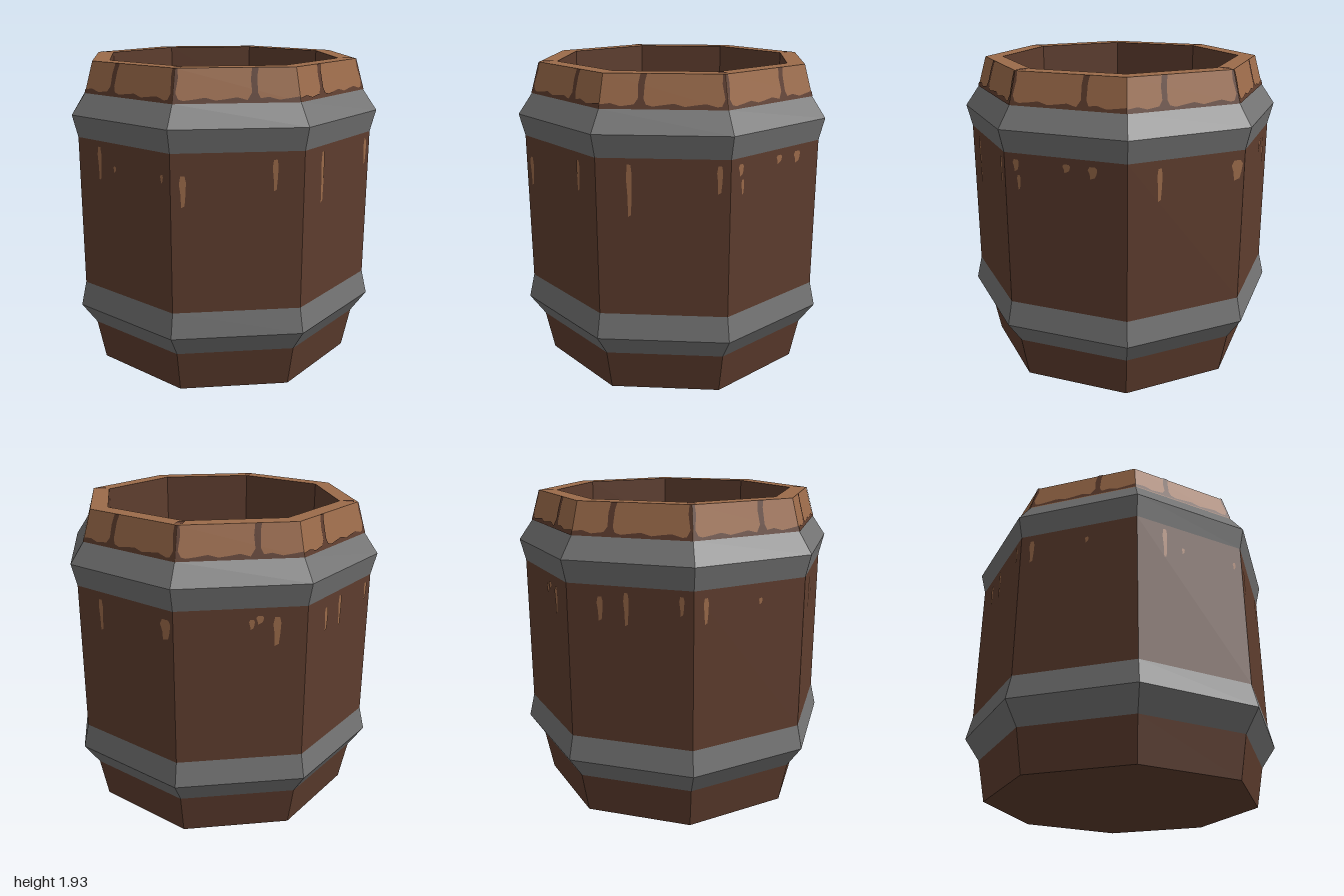
import * as THREE from 'three';

const mat = (name, color) => new THREE.MeshStandardMaterial({ name, color });
const SEG = Math.PI / 4, START = THREE.MathUtils.degToRad(37.5);

// eight-sided turned part with hard facets
function turned(name, profile, material) {
  const pts = profile.map(([r, y]) => new THREE.Vector2(r, y));
  const geo = new THREE.LatheGeometry(pts, 8, START).toNonIndexed();
  geo.computeVertexNormals();
  const mesh = new THREE.Mesh(geo, material);
  mesh.name = name;
  return mesh;
}

// thin painted patches: each outline (counter-clockwise) is mapped to 3D by its own rule
function patches(name, list, material) {
  const pos = [];
  for (const { outline, map } of list) {
    const v = outline.map(([a, b]) => new THREE.Vector2(a, b));
    for (const tri of THREE.ShapeUtils.triangulateShape(v, []))
      for (const i of tri) pos.push(...map(v[i].x, v[i].y));
  }
  const geo = new THREE.BufferGeometry();
  geo.setAttribute('position', new THREE.Float32BufferAttribute(pos, 3));
  geo.computeVertexNormals();
  const mesh = new THREE.Mesh(geo, material);
  mesh.name = name;
  return mesh;
}

// rule for a side facet: f runs 0..1 left to right seen from outside, y is height
const facet = (deg, radiusAt) => (f, y) => {
  const a = THREE.MathUtils.degToRad(deg), r = radiusAt(y);
  const d = r * Math.cos(SEG / 2) + 0.004, t = (2 * f - 1) * r * Math.sin(SEG / 2);
  return [Math.cos(a) * d + Math.sin(a) * t, y, Math.sin(a) * d - Math.cos(a) * t];
};
// rule for a level surface: outline given as (x, -z)
const level = (y) => (x, nz) => [x, y, -nz];
const corner = (deg, r) => {
  const a = THREE.MathUtils.degToRad(deg);
  return [r * Math.cos(a), -r * Math.sin(a)];
};

export function createModel() {
  const wood = mat('dark wood', 0x5e3d2e);
  const worn = mat('worn light wood', 0x9c6b4a);
  const metal = mat('iron', 0x737373);
  const blue = mat('water blue', 0x2f88b1);
  const group = new THREE.Group();
  group.name = 'barrel';

  const WATER = 1.59, TOP = 1.93, INNER = 0.752;

  // staves, hoops, rim and inside
  group.add(
    turned('base', [[0, 0], [0.862, 0], [0.913, 0.26]], wood),
    turned('lowerHoop', [[0.913, 0.26], [1.008, 0.4], [0.973, 0.55]], metal),
    turned('body', [[0.973, 0.55], [0.971, 1.485]], wood),
    turned('upperHoop', [[0.971, 1.485], [1.004, 1.62], [0.916, 1.745]], metal),
    turned('rim', [[0.916, 1.745], [0.862, TOP], [INNER, TOP]], worn),
    turned('innerWall', [[INNER, TOP], [INNER, WATER]], wood),
    turned('innerFloor', [[INNER, WATER], [0, WATER]], wood),
  );

  // water covers the floor except for two corner ledges
  const pool = [-82.5, -127.5, 142.5, 52.5, 7.5, -37.5].map((d) => corner(d, INNER)).reverse();
  if (THREE.ShapeUtils.area(pool.map(([x, y]) => ({ x, y }))) < 0) pool.reverse();
  group.add(patches('water', [{ outline: pool, map: level(WATER + 0.004) }], blue));

  // worn edge along the two ledges
  const fringe = [];
  for (const mid of [97.5, 187.5]) for (const side of [-45, 45]) {
    const a = corner(mid, INNER), b = corner(mid + side, INNER), c = corner(mid - side, INNER);
    const at = (t, w) => [0, 1].map((i) => a[i] + (b[i] - a[i]) * t + (c[i] - b[i]) * w);
    const outline = [at(0, 0), at(1, 0), at(0.85, 0.055), at(0.65, 0.05), at(0.5, 0.09), at(0.25, 0.04)];
    if (side > 0) outline.reverse();
    if (THREE.ShapeUtils.area(outline.map(([x, y]) => ({ x, y }))) < 0) outline.reverse();
    fringe.push({ outline, map: level(WATER + 0.003) });
  }
  group.add(patches('ledgeWear', fringe, worn));

  // cracks and ragged lower edge of the rim, alternating every other facet
  const rimRadius = (y) => 0.916 - (0.054 * (y - 1.745)) / 0.185;
  const cracks = [];
  for (let k = 0; k < 8; k++) {
    const map = facet(30 + 45 * k, rimRadius);
    const odd = k % 2, c = odd ? 0.64 : 0.32;
    const edge = [[0, 1.745], [1, 1.745]];
    for (let i = 12; i >= 0; i--) edge.push([i / 12, 1.768 + 0.009 * Math.sin(i * 2.1 + odd * 2)]);
    cracks.push({ map, outline: edge });
    cracks.push({ map, outline: [[c - 0.06, 1.76], [c + 0.05, 1.76], [c + 0.025, 1.8], [c + 0.03, 1.89],
      [c + 0.045, TOP], [c - 0.01, TOP], [c - 0.025, 1.87], [c - 0.02, 1.8]] });
    const s = odd ? 0 : 1, e = odd ? 1 : -1;
    const split = [[s, 1.76], [s + e * 0.05, 1.76], [s + e * 0.018, 1.8], [s + e * 0.03, 1.88], [s + e * 0.02, TOP], [s, TOP]];
    cracks.push({ map, outline: odd ? split : split.reverse() });
    // nick on the outer edge of the rim top
    if (!odd) {
      const deg = 7.5 + 45 * k;
      const nick = [corner(deg - 1.2, 0.775), corner(deg + 1.2, 0.775), corner(deg + 1.6, 0.84), corner(deg - 1.6, 0.84)];
      cracks.push({ map: level(TOP + 0.003), outline: nick.reverse() });
    }
  }
  for (const c of cracks)
    if (THREE.ShapeUtils.area(c.outline.map(([x, y]) => ({ x, y }))) < 0) c.outline.reverse();
  group.add(patches('rimCracks', cracks, wood));

  // light scratches below the upper hoop: facet angle, position, bottom, top, half width
  const scratches = [
    [120, 0.25, 1.25, 1.45, 0.022], [120, 0.42, 1.31, 1.35, 0.014], [120, 0.92, 1.31, 1.36, 0.014],
    [75, 0.09, 1.18, 1.36, 0.026], [75, 0.78, 1.26, 1.44, 0.022],
    [30, 0.25, 1.15, 1.45, 0.022], [30, 0.92, 1.29, 1.45, 0.022],
    [345, 0.1, 1.38, 1.45, 0.026], [345, 0.12, 1.27, 1.36, 0.015], [345, 0.52, 1.4, 1.45, 0.032], [345, 0.73, 1.38, 1.45, 0.038],
    [300, 0.26, 1.25, 1.44, 0.022], [300, 0.93, 1.31, 1.43, 0.05],
    [255, 0.58, 1.36, 1.42, 0.022], [255, 0.64, 1.39, 1.44, 0.03], [255, 0.77, 1.26, 1.43, 0.03],
    [210, 0.27, 1.28, 1.42, 0.025], [210, 0.48, 1.26, 1.45, 0.022], [210, 0.91, 1.34, 1.45, 0.02],
    [165, 0.1, 1.29, 1.44, 0.022], [165, 0.58, 1.36, 1.4, 0.016],
  ];
  group.add(patches('scratches', scratches.map(([deg, f, lo, hi, w]) => {
    const h = hi - lo;
    return { map: facet(deg, () => 0.971), outline: [[f - w * 0.5, lo], [f + w * 0.5, lo + 0.01], [f + w * 0.8, lo + h * 0.4],
      [f + w, hi - h * 0.2], [f + w * 0.6, hi], [f - w * 0.6, hi], [f - w, hi - h * 0.25], [f - w * 0.6, lo + h * 0.4]] };
  }), worn));

  return group;
}
